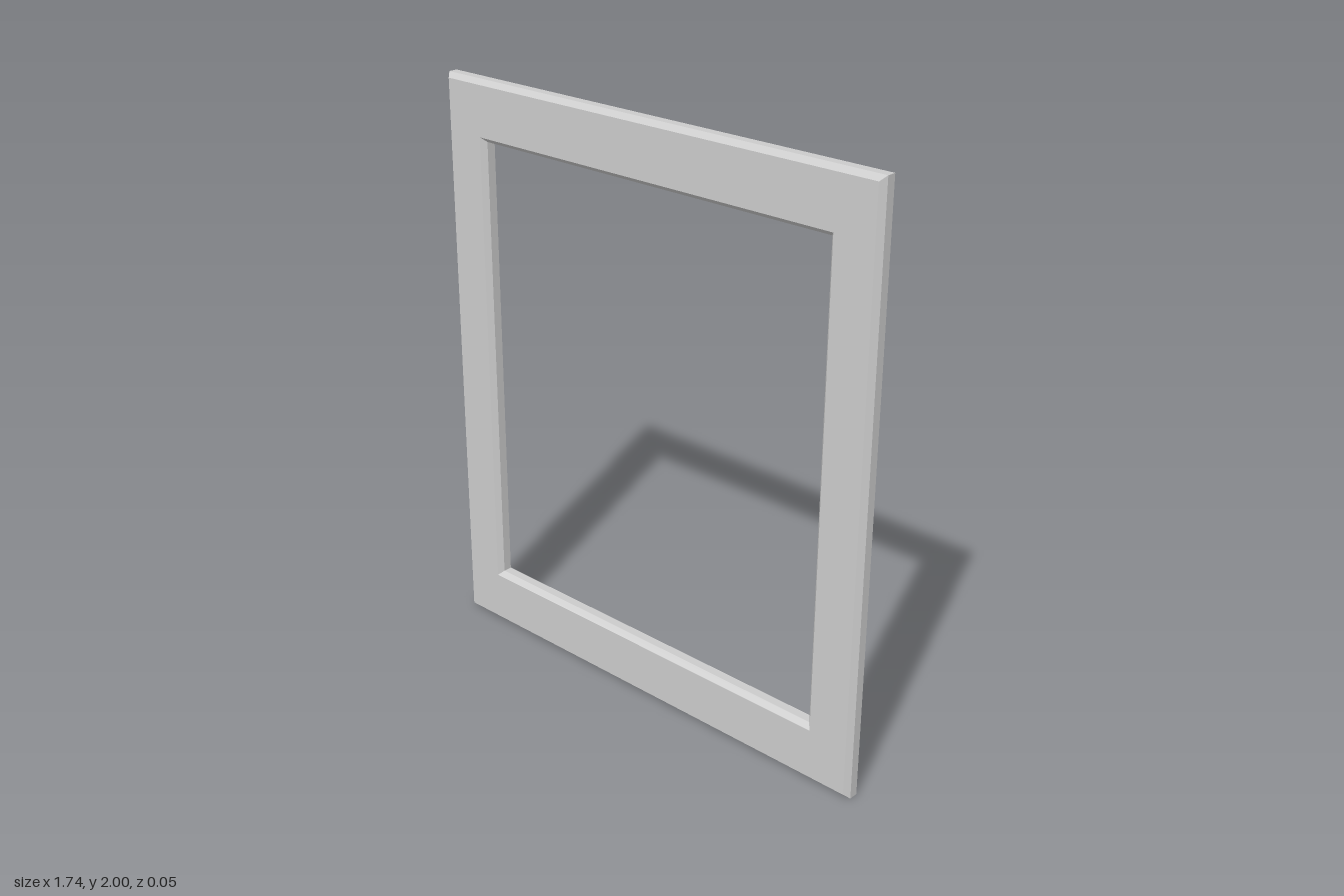
import * as THREE from 'three';

// Rectangular frame whose front edges, outside and around the opening, are chamfered.
const CENTER_Y = 1;
const OUTER = [0.872, 1];      // half width, half height
const OPENING = [0.7, 0.796];
const BACK = -0.025, FRONT = 0.024, BEVEL = 0.016;

// Cross-section of the rail, as [half width, half height, z] of each rectangle
const profile = [
  [OUTER[0], OUTER[1], BACK],
  [OUTER[0], OUTER[1], FRONT - BEVEL - 0.002],
  [OUTER[0] - BEVEL, OUTER[1] - BEVEL, FRONT],
  [OPENING[0] + BEVEL, OPENING[1] + BEVEL, FRONT],
  [OPENING[0], OPENING[1], FRONT - BEVEL - 0.002],
  [OPENING[0], OPENING[1], BACK],
];
const corners = [[-1, -1], [1, -1], [1, 1], [-1, 1]];

// Sweep the closed cross-section around four mitred corners
function frameGeometry() {
  const point = (i, j) => {
    const [w, h, z] = profile[i % profile.length];
    const [sx, sy] = corners[j % 4];
    return [sx * w, CENTER_Y + sy * h, z];
  };
  const positions = [];
  for (let i = 0; i < profile.length; i++) {
    for (let j = 0; j < 4; j++) {
      const a = point(i, j), b = point(i, j + 1);
      const c = point(i + 1, j + 1), d = point(i + 1, j);
      positions.push(...a, ...b, ...c, ...a, ...c, ...d);
    }
  }
  const geometry = new THREE.BufferGeometry();
  geometry.setAttribute('position', new THREE.Float32BufferAttribute(positions, 3));
  geometry.computeVertexNormals();
  return geometry;
}

export function createModel() {
  const model = new THREE.Group();
  model.name = 'pictureFrame';
  const material = new THREE.MeshStandardMaterial({ color: 0xcccccc, flatShading: true });
  const frame = new THREE.Mesh(frameGeometry(), material);
  frame.name = 'frame';
  model.add(frame);
  return model;
}
